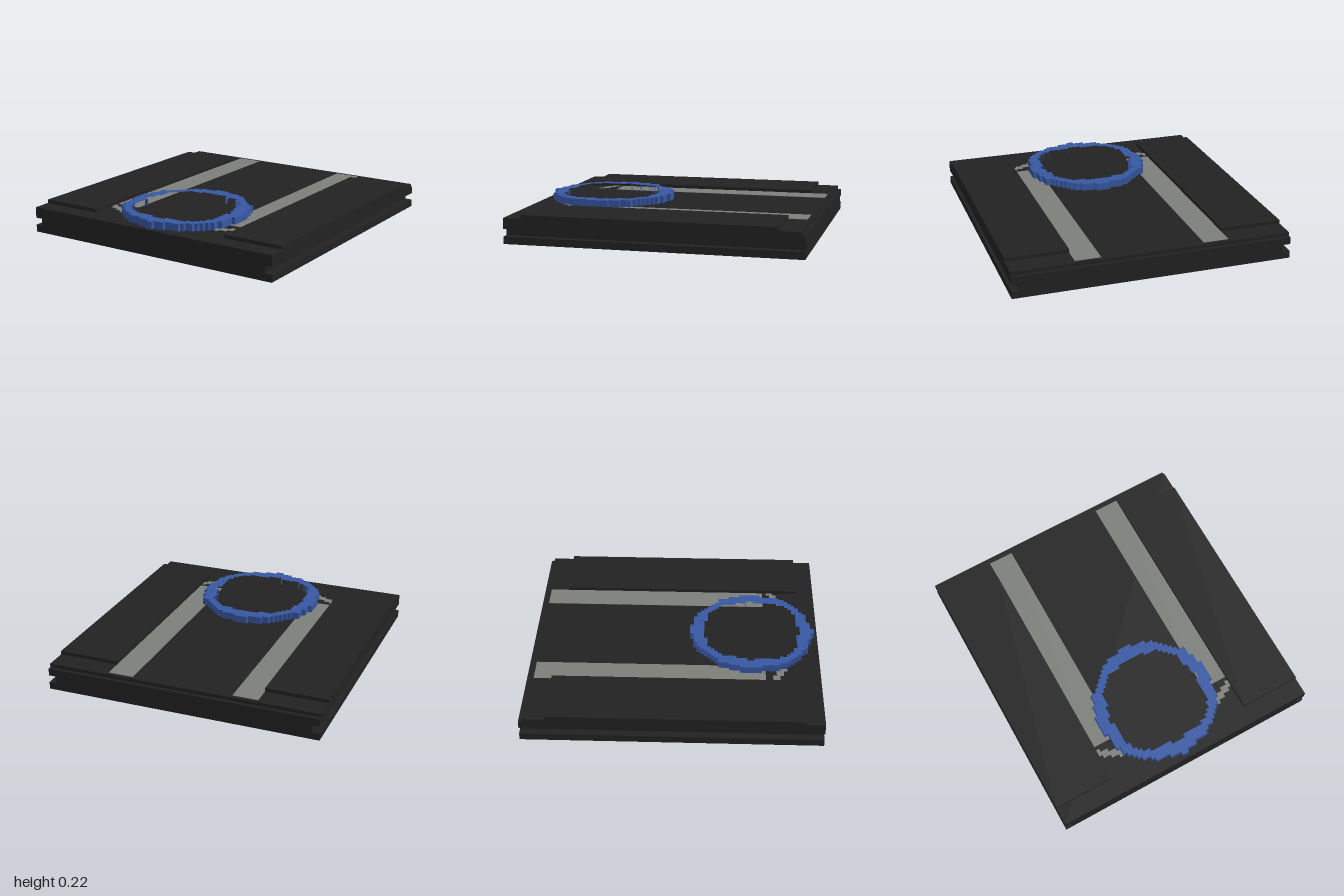
import * as THREE from 'three';

const STEP = 0.025;

const black = new THREE.MeshStandardMaterial({ color: 0x222222 });
black.name = 'black';
const grey = new THREE.MeshStandardMaterial({ color: 0x7c7e79 });
grey.name = 'grey';
const blue = new THREE.MeshStandardMaterial({ color: 0x3657a2 });
blue.name = 'blue';

// Half-widths of the stepped ring, one per row of STEP along z
const OUTER_START = 0.1;
const OUTER = [
  0.05, 0.15, 0.2, 0.225, 0.25, 0.275, 0.3, 0.325, 0.375, 0.375, 0.375, 0.4,
  0.4, 0.4, 0.425, 0.425, 0.425, 0.425, 0.425, 0.425, 0.4, 0.4, 0.4, 0.4,
  0.4, 0.375, 0.375, 0.35, 0.325, 0.3, 0.275, 0.225, 0.2, 0.1, 0.025,
];
const INNER_START = 0.2;
const INNER = [
  0.1, 0.2, 0.225, 0.25, 0.275, 0.3, 0.3, 0.3, 0.3, 0.325, 0.325, 0.325,
  0.35, 0.35, 0.325, 0.325, 0.325, 0.325, 0.325, 0.325, 0.325, 0.3, 0.3,
  0.275, 0.25, 0.2, 0.05,
];

// Closed stair-stepped outline, mirrored in x; shape y stands for -z
function steppedOutline(start, widths) {
  const right = [];
  widths.forEach((w, i) => {
    const z = start + i * STEP;
    if (i === 0 || w !== widths[i - 1]) {
      if (i > 0) right.push([widths[i - 1], z]);
      right.push([w, z]);
    }
  });
  right.push([widths[widths.length - 1], start + widths.length * STEP]);
  const left = right.map(([x, z]) => [-x, z]).reverse();
  return [...right, ...left].map(([x, z]) => new THREE.Vector2(x, -z));
}

export function createModel() {
  const model = new THREE.Group();
  model.name = 'steppedPlate';

  // Box given by its limits along each axis
  const block = (name, material, [x0, x1], [y0, y1], [z0, z1], parent = model) => {
    const mesh = new THREE.Mesh(new THREE.BoxGeometry(x1 - x0, y1 - y0, z1 - z0), material);
    mesh.position.set((x0 + x1) / 2, (y0 + y1) / 2, (z0 + z1) / 2);
    mesh.name = name;
    parent.add(mesh);
  };

  // Base, with grooves along both sides and a low lip at the back
  block('bottomLayer', black, [-0.95, 0.95], [0, 0.05], [-1, 1]);
  block('grooveCore', black, [-0.9, 0.9], [0.05, 0.1], [-1, 1]);
  block('upperLayer', black, [-0.95, 0.95], [0.1, 0.15], [-1, 1]);
  block('deck', black, [-0.95, 0.95], [0.15, 0.175], [-0.975, 1]);

  // Mirrored panels, stripes and stepped curls
  for (const [side, label] of [[1, 'left'], [-1, 'right']]) {
    const span = (a, b) => (side > 0 ? [a, b] : [-b, -a]);
    block(label + 'Panel', black, span(0.525, 0.95), [0.175, 0.2], [-0.825, 0.875]);
    block(label + 'Stripe', grey, span(0.35, 0.525), [0.173, 0.177], [-0.95, 0.625]);

    const curl = new THREE.Group();
    curl.name = label + 'Curl';
    model.add(curl);
    [[0.5, 0.525], [0.45, 0.5], [0.4, 0.45], [0.375, 0.4]].forEach(([a, b], i) => {
      const z = 0.65 + i * STEP;
      block('curlStep', grey, span(a, b), [0.173, 0.177], [z, z + 0.05], curl);
    });
  }

  // Raised stepped ring
  const shape = new THREE.Shape(steppedOutline(OUTER_START, OUTER));
  shape.holes.push(new THREE.Path(steppedOutline(INNER_START, INNER)));
  const ringGeometry = new THREE.ExtrudeGeometry(shape, { depth: 0.05, bevelEnabled: false });
  ringGeometry.rotateX(-Math.PI / 2);
  const ring = new THREE.Mesh(ringGeometry, blue);
  ring.position.y = 0.175;
  ring.name = 'ring';
  model.add(ring);

  return model;
}
